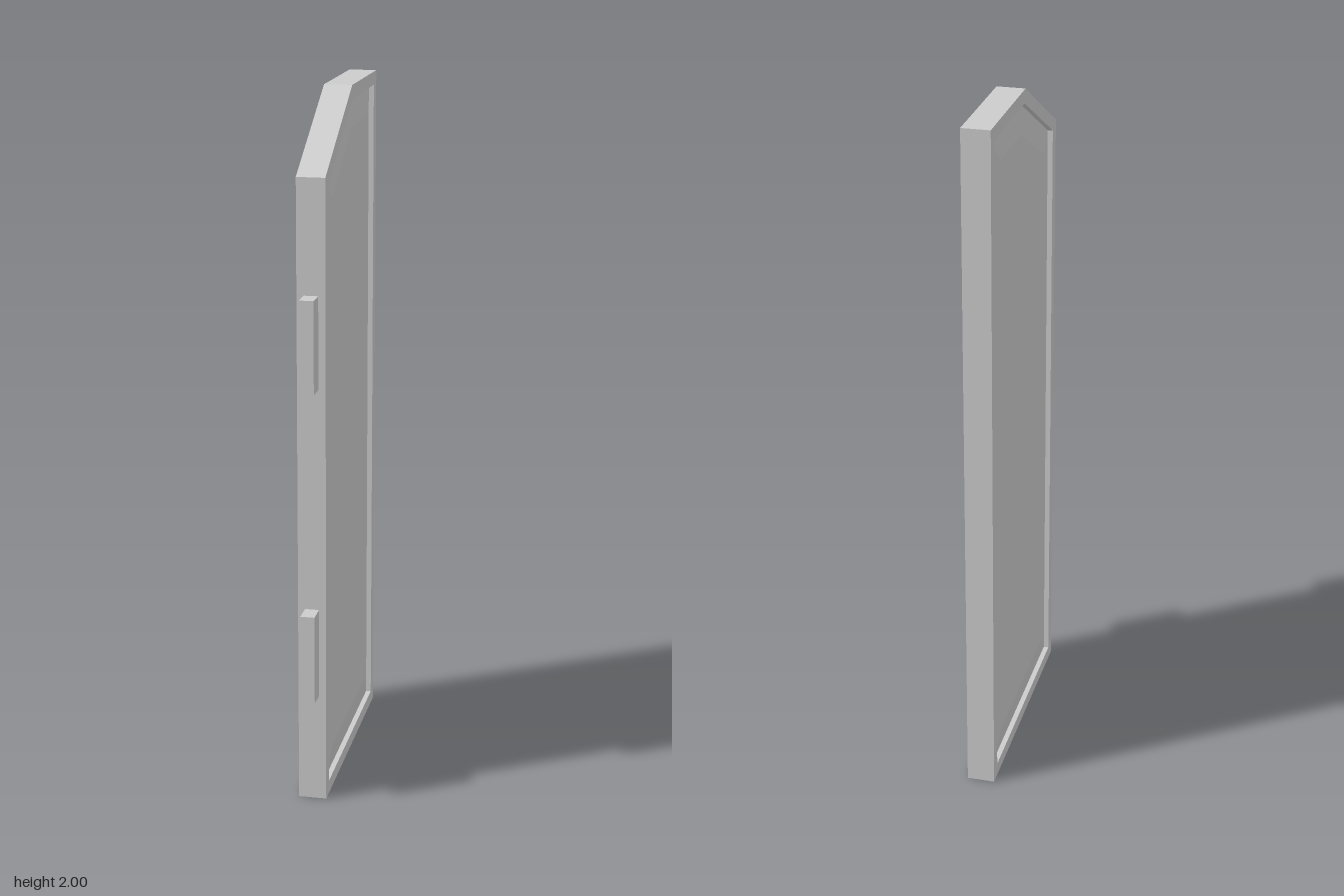
import * as THREE from 'three';

const material = new THREE.MeshStandardMaterial({ color: 0xcccccc, flatShading: true });

// Outlines run along the width (-z) and height (y) of the door
const outer = [[-0.335, 0], [0.395, 0], [0.395, 2], [0.03, 2], [-0.335, 1.8]];
const inner = [[-0.297, 0.038], [0.357, 0.038], [0.357, 1.962], [0.04, 1.962], [-0.297, 1.778]];
const toPoints = (list) => list.map(([s, y]) => new THREE.Vector2(s, y));

// Extrude an outline through the thickness (x), centred on x = 0
function slab(name, shape, depth, options = {}) {
  const geometry = new THREE.ExtrudeGeometry(shape, { depth, bevelEnabled: false, ...options });
  geometry.translate(0, 0, -depth / 2).rotateY(Math.PI / 2);
  const mesh = new THREE.Mesh(geometry, material);
  mesh.name = name;
  return mesh;
}

export function createModel() {
  const door = new THREE.Group();
  door.name = 'door';

  // Border frame around the recessed panel
  const frameShape = new THREE.Shape(toPoints(outer));
  frameShape.holes.push(new THREE.Path(toPoints(inner)));
  door.add(slab('frame', frameShape, 0.08));

  // Panel with a shallow raised field on both faces
  door.add(slab('panel', new THREE.Shape(toPoints(inner)), 0.05, {
    bevelEnabled: true, bevelSegments: 1, bevelSize: 0.08, bevelOffset: -0.08, bevelThickness: 0.01,
  }));

  // Hinge blocks on the front edge
  for (const [name, y] of [['lowerHinge', 0.45], ['upperHinge', 1.35]]) {
    const hinge = new THREE.Mesh(new THREE.BoxGeometry(0.04, 0.26, 0.06), material);
    hinge.name = name;
    hinge.position.set(0, y, 0.365);
    door.add(hinge);
  }
  return door;
}
